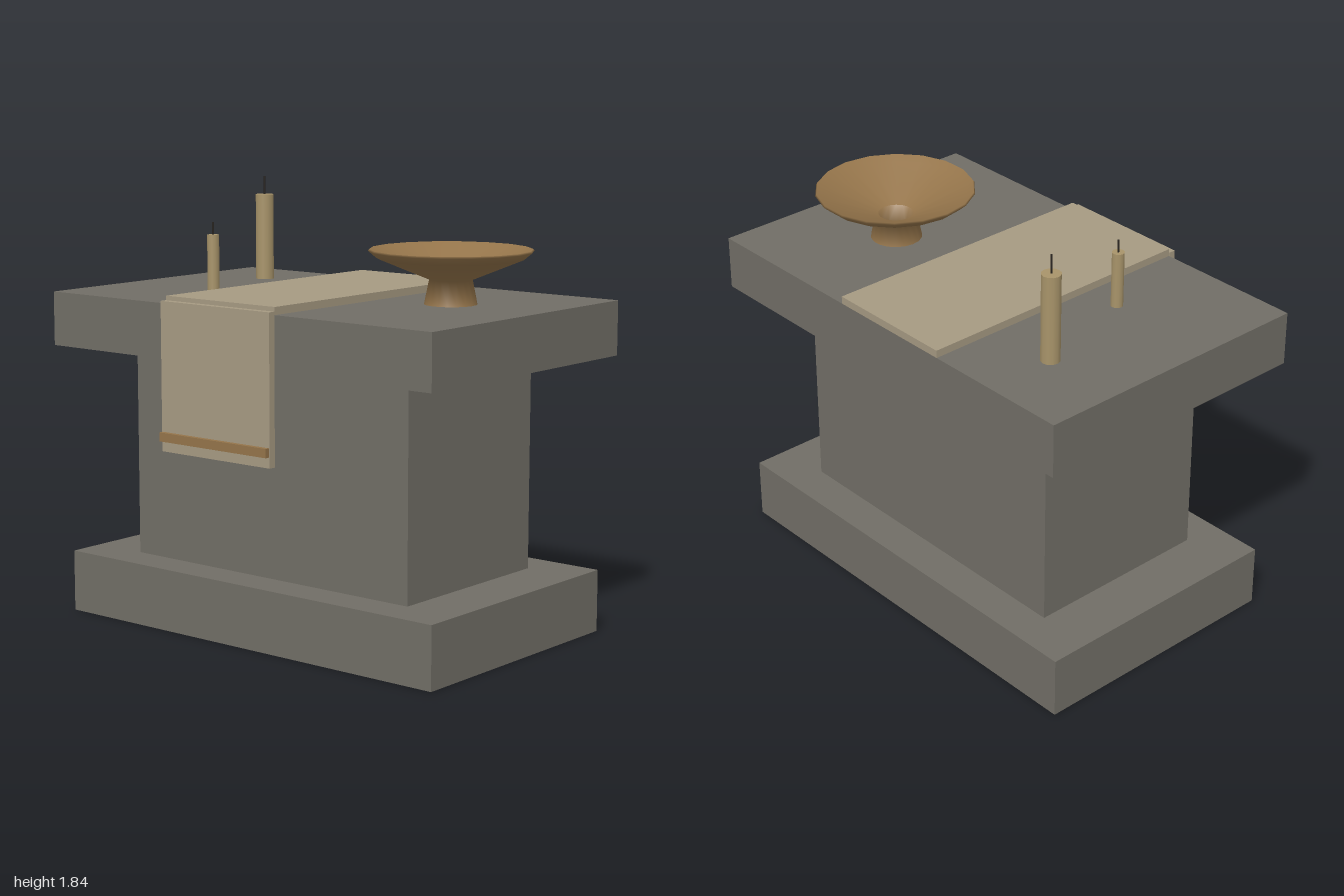
import * as THREE from 'three';

const mat = (name, color, side = THREE.FrontSide) => {
  const m = new THREE.MeshStandardMaterial({ color, side });
  m.name = name;
  return m;
};

export function createModel() {
  const group = new THREE.Group();
  group.name = 'altar';

  const stone = mat('grey stone', 0x716e66);
  const cloth = mat('linen', 0xa69a82);
  const bronze = mat('bronze', 0x94744a, THREE.DoubleSide);
  const trim = mat('gold trim', 0x94744a);
  const wax = mat('wax', 0xa8946a);
  const char = mat('charred wick', 0x2a2622);

  const add = (name, geometry, material, x = 0, y = 0, z = 0, parent = group) => {
    const mesh = new THREE.Mesh(geometry, material);
    mesh.name = name;
    mesh.position.set(x, y, z);
    parent.add(mesh);
    return mesh;
  };

  // Box given by its limits on each axis
  const block = (name, material, [x0, x1], [y0, y1], [z0, z1]) =>
    add(name, new THREE.BoxGeometry(x1 - x0, y1 - y0, z1 - z0), material,
      (x0 + x1) / 2, (y0 + y1) / 2, (z0 + z1) / 2);

  // Stone body
  block('plinth', stone, [-0.965, 0.965], [0, 0.262], [-0.598, 0.547]);
  block('pedestal', stone, [-0.725, 0.725], [0.262, 1.16], [-0.436, 0.386]);
  block('tableSlab', stone, [-1, 1], [1.16, 1.388], [-0.656, 0.604]);

  // Cloth runner with its hanging front and trim band
  block('runnerTop', cloth, [-0.345, 0.235], [1.388, 1.42], [-0.656, 0.604]);
  block('runnerDrop', cloth, [-0.345, 0.235], [0.786, 1.402], [0.606, 0.637]);
  block('runnerBand', trim, [-0.342, 0.232], [0.83, 0.867], [0.637, 0.657]);

  // Footed bowl, open through the stem
  const profile = [
    [0.108, 0], [0.088, 0.1], [0.302, 0.188], [0.335, 0.216], [0.33, 0.223],
    [0.302, 0.202], [0.074, 0.107],
  ].map(([r, y]) => new THREE.Vector2(r, y));
  const bowl = add('offeringBowl', new THREE.LatheGeometry(profile, 18), bronze, 0.55, 1.388, -0.115);
  bowl.rotation.y = Math.PI / 2;

  // Candles with wicks
  const candle = (name, x, z, radius, height, wick) => {
    const g = new THREE.Group();
    g.name = name;
    g.position.set(x, 1.388, z);
    add('candleBody', new THREE.CylinderGeometry(radius, radius, height, 12), wax, 0, height / 2, 0, g);
    add('wick', new THREE.CylinderGeometry(0.004, 0.004, wick, 6), char, 0, height + wick / 2, 0, g);
    group.add(g);
  };
  candle('tallCandle', -0.645, -0.343, 0.04, 0.373, 0.08);
  candle('shortCandle', -0.503, 0.149, 0.026, 0.237, 0.053);

  return group;
}
